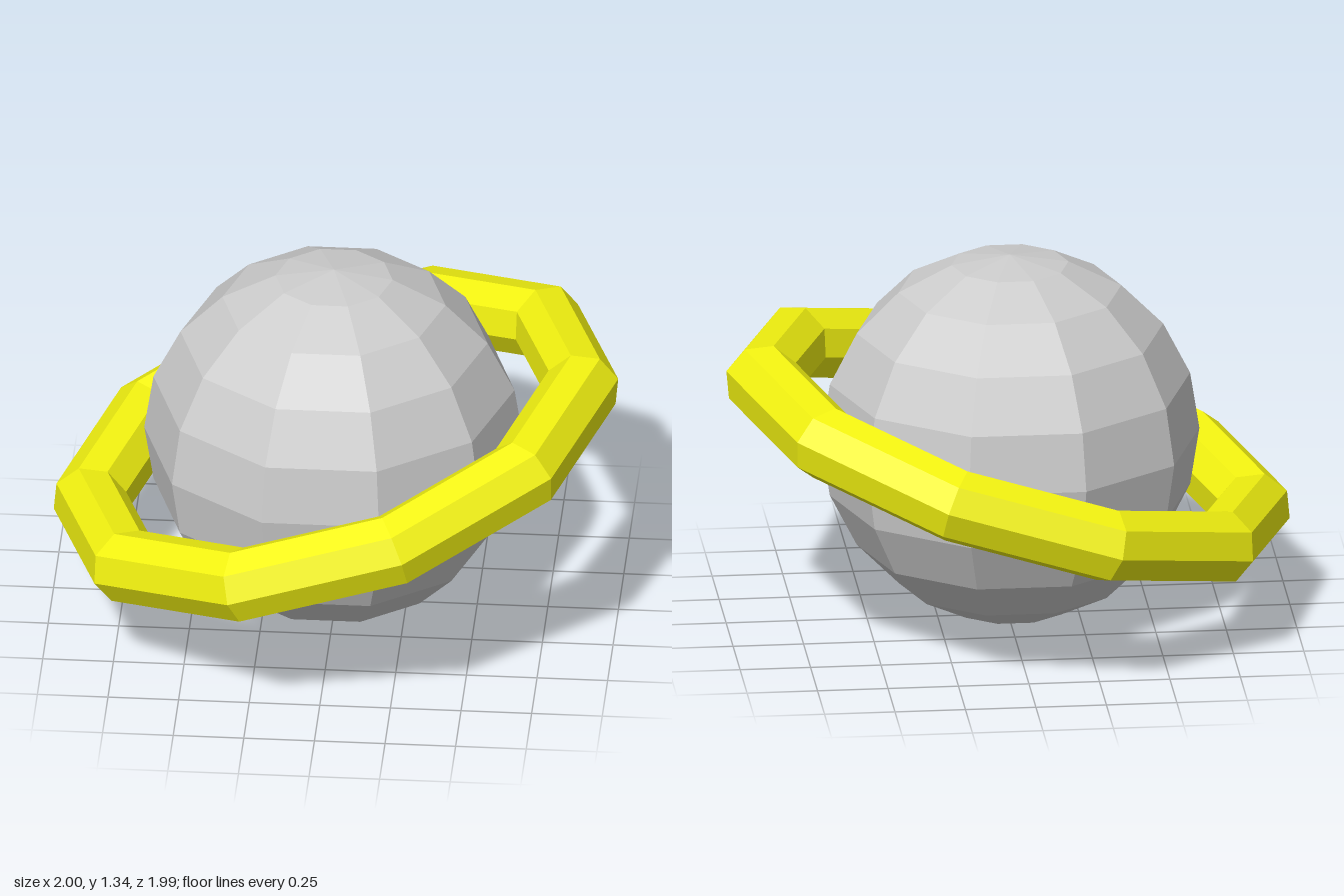
import * as THREE from 'three';

export function createModel() {
  const model = new THREE.Group();
  model.name = 'ringedPlanet';

  // Faceted globe
  const globe = new THREE.Mesh(
    new THREE.SphereGeometry(0.672, 10, 10),
    new THREE.MeshStandardMaterial({ color: 0xcccccc, flatShading: true })
  );
  globe.name = 'globe';
  globe.position.set(-0.007, 0.672, 0);
  model.add(globe);

  // Ten-sided ring with an octagonal section, laid flat and then tilted up towards +x
  const ring = new THREE.Mesh(
    new THREE.TorusGeometry(0.912, 0.134, 8, 10).rotateX(Math.PI / 2),
    new THREE.MeshStandardMaterial({ color: 0xf2f210, flatShading: true })
  );
  ring.name = 'ring';
  ring.position.y = 0.633;
  ring.rotation.z = 0.3;
  model.add(ring);

  return model;
}
